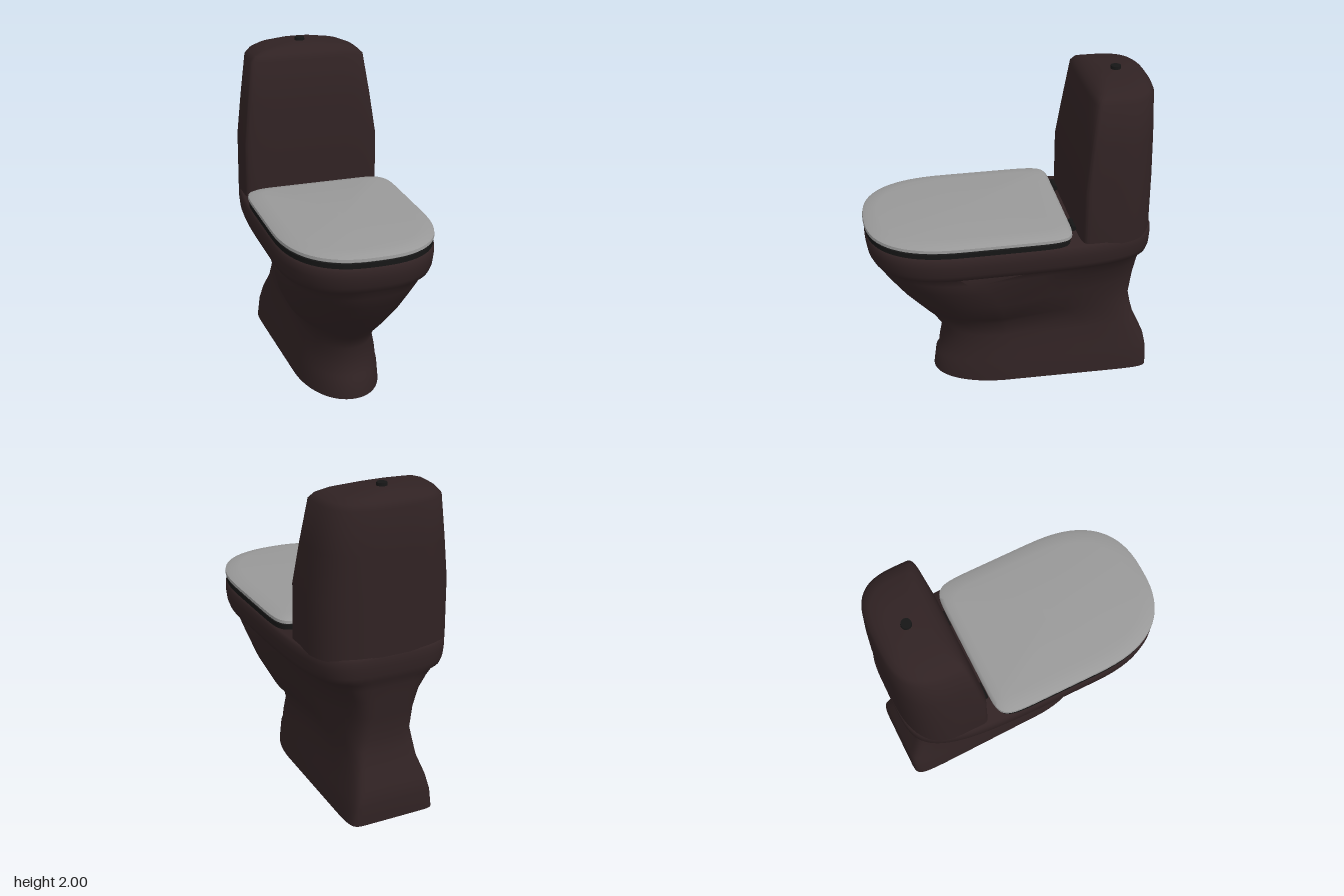
import * as THREE from 'three';
import { toCreasedNormals } from 'three/addons/utils/BufferGeometryUtils.js';

const SIDES = 72;
const ceramic = new THREE.MeshStandardMaterial({ color: 0x302223 });
const lidGrey = new THREE.MeshStandardMaterial({ color: 0x999999 });
const black = new THREE.MeshStandardMaterial({ color: 0x161616 });

// Rounded outline: height, half width, front and back ends, z where the two
// halves meet, squareness of front and back, and width change towards the back.
function outline([y, w, zf, zb, zc, nf, nb, taper = 1]) {
  const pts = [];
  for (let i = 0; i < SIDES; i++) {
    const t = (i / SIDES) * Math.PI * 2;
    const c = Math.cos(t), s = Math.sin(t);
    const n = s >= 0 ? nf : nb;
    const along = Math.pow(Math.abs(s), 2 / n);
    let x = Math.sign(c) * w * Math.pow(Math.abs(c), 2 / n);
    if (s < 0) x *= 1 + (taper - 1) * along;
    const z = zc + ((s >= 0 ? zf : zb) - zc) * along;
    pts.push(new THREE.Vector3(x, y, z));
  }
  return pts;
}

// Skin stacked outlines, bottom to top.
function loft(sections, { bottom = true, crease = 0.9 } = {}) {
  const pos = [], index = [];
  const rings = sections.map(outline);
  rings.forEach(r => r.forEach(p => pos.push(p.x, p.y, p.z)));
  for (let i = 0; i < rings.length - 1; i++) {
    for (let j = 0; j < SIDES; j++) {
      const k = (j + 1) % SIDES;
      const a = i * SIDES + j, b = i * SIDES + k, c = a + SIDES, d = b + SIDES;
      index.push(a, c, b, b, c, d);
    }
  }
  const cap = (ring, up) => {
    const s = sections[ring], centre = pos.length / 3;
    pos.push(0, s[0], (s[2] + s[3]) / 2);
    for (let j = 0; j < SIDES; j++) {
      const a = ring * SIDES + j, b = ring * SIDES + (j + 1) % SIDES;
      index.push(centre, up ? b : a, up ? a : b);
    }
  };
  if (bottom) cap(0, false);
  cap(rings.length - 1, true);
  const g = new THREE.BufferGeometry();
  g.setAttribute('position', new THREE.Float32BufferAttribute(pos, 3));
  g.setIndex(index);
  return toCreasedNormals(g, crease);
}

export function createModel() {
  const model = new THREE.Group();
  model.name = 'toilet';
  const add = (name, geometry, material, x = 0, y = 0, z = 0) => {
    const m = new THREE.Mesh(geometry, material);
    m.name = name;
    m.position.set(x, y, z);
    model.add(m);
  };

  // Pedestal flaring into the bowl, rim and rear deck
  const foot = [0, 0.263, 0.47, -0.88, 0, 2.1, 14, 1.08];
  add('pedestalBowlRim', loft([
    foot,
    [0.12, 0.253, 0.455, -0.88, 0, 2.1, 14, 1.06],
    [0.145, 0.248, 0.437, -0.877, 0, 2.1, 14, 1.05],
    [0.21, 0.241, 0.43, -0.865, 0, 2.1, 12, 1.03],
    [0.32, 0.22, 0.41, -0.81, 0, 2.1, 10, 0.99],
    [0.42, 0.228, 0.48, -0.785, 0.04, 2.1, 8, 0.92],
    [0.49, 0.295, 0.54, -0.775, 0.06, 2.1, 6, 0.7],
    [0.64, 0.37, 0.67, -0.795, 0.1, 2.2, 5.5, 0.6],
    [0.76, 0.405, 0.755, -0.815, 0.16, 2.3, 5, 0.66],
    [0.84, 0.422, 0.805, -0.825, 0.22, 2.4, 4.7, 0.82],
    [0.885, 0.413, 0.82, -0.837, 0.28, 2.5, 4.5, 0.97],
    [0.905, 0.455, 0.84, -0.847, 0.3, 2.55, 4.5],
    [0.94, 0.467, 0.858, -0.857, 0.3, 2.55, 4.5],
    [1.0, 0.474, 0.868, -0.86, 0.3, 2.55, 4.5],
    [1.045, 0.472, 0.868, -0.86, 0.3, 2.55, 4.5],
    [1.06, 0.46, 0.858, -0.853, 0.3, 2.55, 4.5],
  ], { bottom: false, crease: 1.3 }), ceramic);

  // Underside with an outlet recess
  const sole = new THREE.Shape(outline(foot).map(p => new THREE.Vector2(p.x, p.z)));
  sole.holes.push(new THREE.Path([
    [0.145, -0.6], [0.235, -0.6], [0.235, -0.36], [0.145, -0.36],
  ].map(([x, z]) => new THREE.Vector2(x, z))));
  add('underside', new THREE.ShapeGeometry(sole).rotateX(Math.PI / 2), ceramic);
  const inside = black.clone();
  inside.side = THREE.BackSide;
  add('outletRecess', new THREE.BoxGeometry(0.09, 0.08, 0.24), inside, 0.19, 0.04, -0.48);

  // Cistern with a crowned top
  add('cistern', loft([
    [1.04, 0.436, -0.38, -0.857, -0.48, 7, 3.1],
    [1.4, 0.434, -0.38, -0.858, -0.48, 7, 3.1],
    [1.66, 0.402, -0.415, -0.857, -0.5, 6.5, 3.1],
    [1.91, 0.366, -0.448, -0.85, -0.53, 6, 3.1],
    [1.94, 0.336, -0.467, -0.838, -0.54, 6, 3.1],
    [1.962, 0.28, -0.494, -0.812, -0.56, 5, 3.1],
    [1.982, 0.15, -0.54, -0.765, -0.61, 4, 3],
  ], { crease: 1.2 }), ceramic);
  add('flushButton', new THREE.CylinderGeometry(0.03, 0.034, 0.035, 16), black, 0, 1.9825, -0.655);

  // Seat and lid
  add('seat', loft([
    [1.058, 0.45, 0.85, -0.31, 0.3, 2.55, 11],
    [1.066, 0.467, 0.868, -0.325, 0.3, 2.55, 11],
    [1.095, 0.467, 0.868, -0.325, 0.3, 2.55, 11],
    [1.104, 0.45, 0.85, -0.315, 0.3, 2.55, 11],
  ]), black);
  add('lid', loft([
    [1.102, 0.464, 0.867, -0.328, 0.3, 2.55, 11],
    [1.108, 0.472, 0.875, -0.335, 0.3, 2.55, 11],
    [1.125, 0.47, 0.872, -0.333, 0.3, 2.55, 11],
    [1.138, 0.443, 0.845, -0.315, 0.3, 2.55, 11],
    [1.147, 0.38, 0.785, -0.265, 0.3, 2.55, 11],
  ]), lidGrey);

  // Hinge barrels
  for (const side of [-1, 1]) {
    add(side > 0 ? 'leftHinge' : 'rightHinge',
      new THREE.CylinderGeometry(0.017, 0.017, 0.1, 10).rotateZ(Math.PI / 2),
      black, side * 0.258, 1.1, -0.355);
  }
  return model;
}
